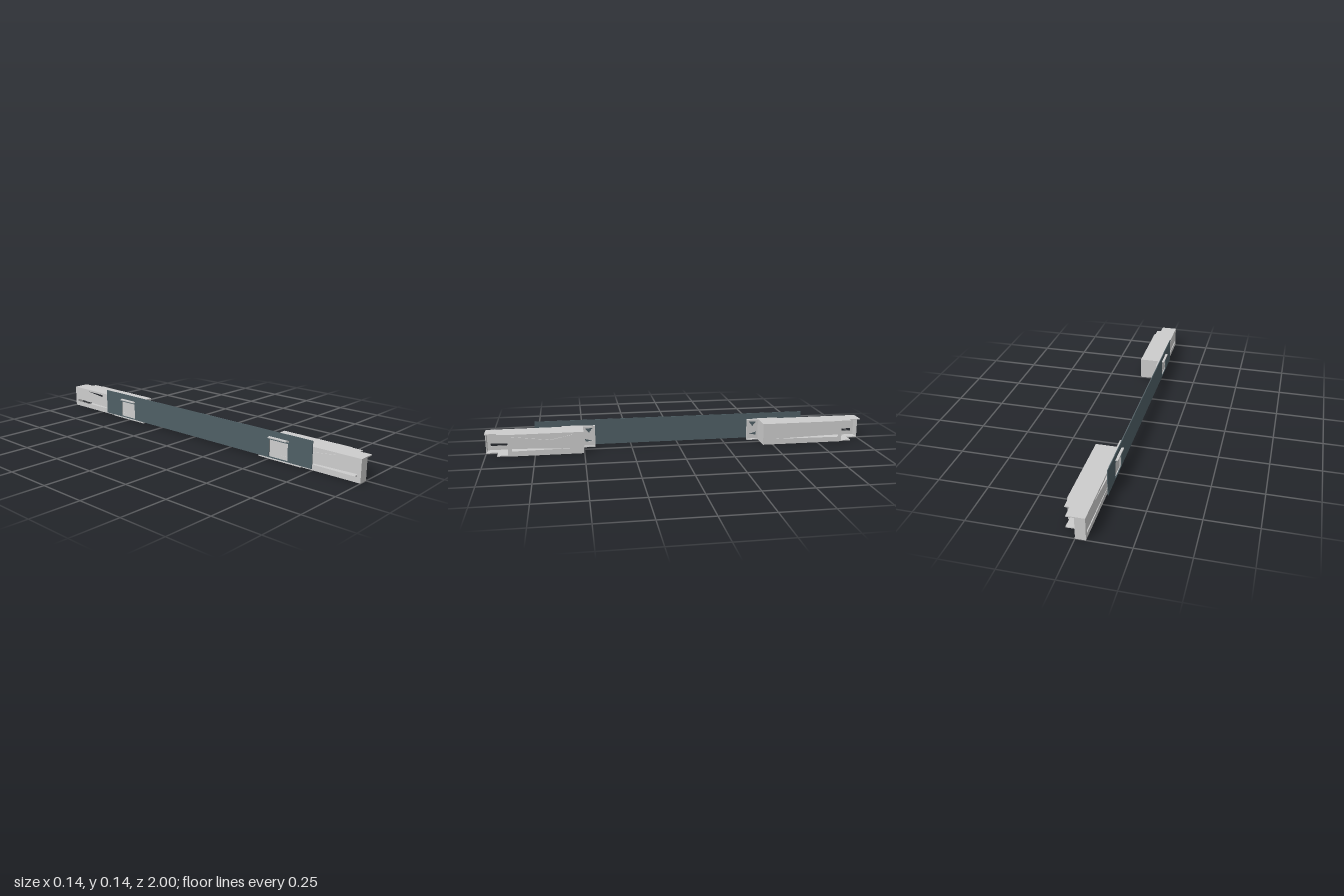
import * as THREE from 'three';

const grey = new THREE.MeshStandardMaterial({ color: 0xcccccc });
grey.name = 'light grey steel';
const slate = new THREE.MeshStandardMaterial({ color: 0x4f5f65 });
slate.name = 'slate board';

const T = 0.004; // sheet thickness
const toPts = (pts) => pts.map(([a, b]) => new THREE.Vector2(a, b));

function extruded(outline, holes, depth) {
  const shape = new THREE.Shape(toPts(outline));
  for (const h of holes) shape.holes.push(new THREE.Path(toPts(h)));
  return new THREE.ExtrudeGeometry(shape, { depth, bevelEnabled: false });
}

// Upright sheet drawn in (z, y); its outer face lies at x
function wall(name, x, outline, holes, material, depth = T) {
  const g = extruded(outline, holes, depth).rotateY(-Math.PI / 2);
  const mesh = new THREE.Mesh(g, material);
  mesh.position.x = x;
  mesh.name = name;
  return mesh;
}

// Level sheet drawn in (x, z); its top lies at y
function deck(name, y, outline, depth) {
  const mesh = new THREE.Mesh(extruded(outline, [], depth).rotateX(Math.PI / 2), grey);
  mesh.position.y = y;
  mesh.name = name;
  return mesh;
}

function box(name, x0, x1, y0, y1, z0, z1) {
  const mesh = new THREE.Mesh(new THREE.BoxGeometry(x1 - x0, y1 - y0, Math.abs(z1 - z0)), grey);
  mesh.position.set((x0 + x1) / 2, (y0 + y1) / 2, (z0 + z1) / 2);
  mesh.name = name;
  return mesh;
}

const rect = (a0, a1, b0, b1) => [[a0, b0], [a1, b0], [a1, b1], [a0, b1]];

// One hollow sheet-metal housing; inner is the end facing the middle
function housing(name, sign, inner) {
  const group = new THREE.Group();
  group.name = name;
  const z = (d) => sign * d;
  const flip = (pts) => pts.map(([a, b]) => [z(a), b]);
  const tab = inner - 0.063;

  // Stepped top and bottom sheets
  const outline = (end) => [
    [-0.048, inner], [0.068, inner], [0.068, 0.885], [0.062, 0.885],
    [0.062, 0.94], [end, 0.94], [end, 1], [-0.048, 1],
  ].map(([x, d]) => [x, z(d)]);
  group.add(deck('topSheet', 0.114, outline(0.038), 0.005));
  group.add(deck('bottomSheet', 0.005, outline(0.002), 0.005));

  // Long side walls with a slanting opening above and a slit below
  const opening = (end) => [
    [inner + 0.05, 0.103], [inner + 0.17, 0.078], [end - 0.01, 0.103],
  ];
  const slit = (end) => [
    [inner + 0.06, 0.03], [end - 0.02, 0.026], [end - 0.02, 0.04],
  ];
  for (const [label, x, end] of [['outerWall', 0.068, 0.885], ['innerWall', -0.044, 1]]) {
    group.add(wall(label, x, flip(rect(inner, end, 0.004, 0.11)),
      [flip(opening(0.885)), flip(slit(end))], grey));
  }

  // End caps: full width inside, half width outside
  group.add(box('innerCap', -0.046, 0.067, 0.004, 0.11, z(inner), z(inner + T)));
  group.add(box('outerCap', -0.048, 0, 0.004, 0.11, z(1 - T), z(1)));

  // Narrow channel bracket reaching toward the middle
  group.add(box('bracketTop', -0.054, -0.035, 0.109, 0.114, z(tab), z(inner)));
  group.add(box('bracketBottom', -0.054, -0.035, 0, 0.005, z(tab), z(inner)));
  group.add(box('bracketEnd', -0.054, -0.035, 0.004, 0.11, z(tab), z(tab + T)));
  group.add(wall('bracketWeb', -0.048, flip(rect(tab, inner, 0.004, 0.11)), [
    flip([[tab + 0.012, 0.1], [tab + 0.032, 0.075], [inner - 0.01, 0.1]]),
    flip([[tab + 0.012, 0.03], [inner - 0.01, 0.026], [inner - 0.01, 0.042]]),
  ], grey));

  // Lip that passes out through the board
  group.add(box('lip', -0.071, -0.046, 0.109, 0.114, z(inner), z(inner + 0.11)));
  group.add(box('bracketFoot', -0.055, -0.046, 0, 0.005, z(inner), z(inner + 0.185)));
  return group;
}

export function createModel() {
  const model = new THREE.Group();
  model.name = 'boardWithHousings';

  // Long upright board with a window and a slot at each housing
  const holes = [];
  for (const [a, b] of [[-0.56, -0.45], [0.505, 0.615]]) {
    holes.push(rect(a, b, 0.014, 0.1), rect(a - 0.005, b + 0.005, 0.107, 0.116));
  }
  model.add(wall('board', -0.055, rect(-0.69, 0.752, 0.009, 0.145), holes, slate));

  model.add(housing('frontHousing', 1, 0.503));
  model.add(housing('backHousing', -1, 0.447));
  return model;
}
